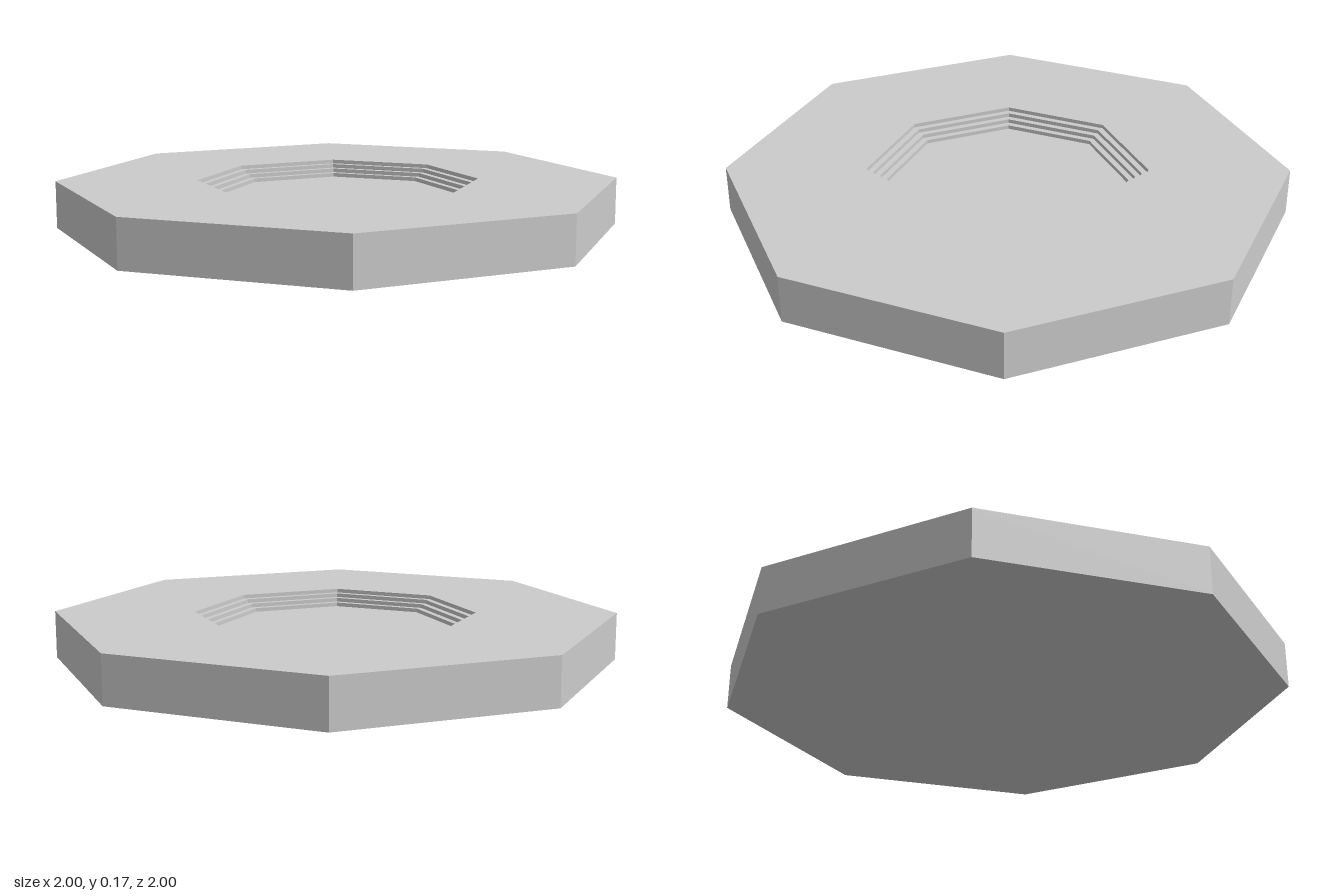
import * as THREE from 'three';

export function createModel() {
  const group = new THREE.Group();
  group.name = 'steppedOctagonalPlate';
  const material = new THREE.MeshStandardMaterial({ color: 0xcccccc, flatShading: true });

  const height = 0.168;
  const steps = 4;
  const stepDrop = 0.014;
  const stepWidth = 0.0235;

  // Spins a profile of [radius, y] pairs into an eight-sided solid
  const addOctagon = (name, profile) => {
    const points = profile.map(([r, y]) => new THREE.Vector2(r, y));
    const mesh = new THREE.Mesh(new THREE.LatheGeometry(points, 8), material);
    mesh.name = name;
    group.add(mesh);
  };

  // Slab: underside, outer wall and flat rim
  addOctagon('slab', [[0, 0], [1, 0], [1, height], [0.5, height]]);

  // Recess: four small drops with narrow treads, ending in the floor
  const recess = [[0.5, height]];
  for (let i = 0; i < steps; i++) {
    const radius = 0.5 - i * stepWidth;
    const y = height - (i + 1) * stepDrop;
    recess.push([radius, y], [i < steps - 1 ? radius - stepWidth : 0, y]);
  }
  addOctagon('steppedRecess', recess);

  return group;
}
